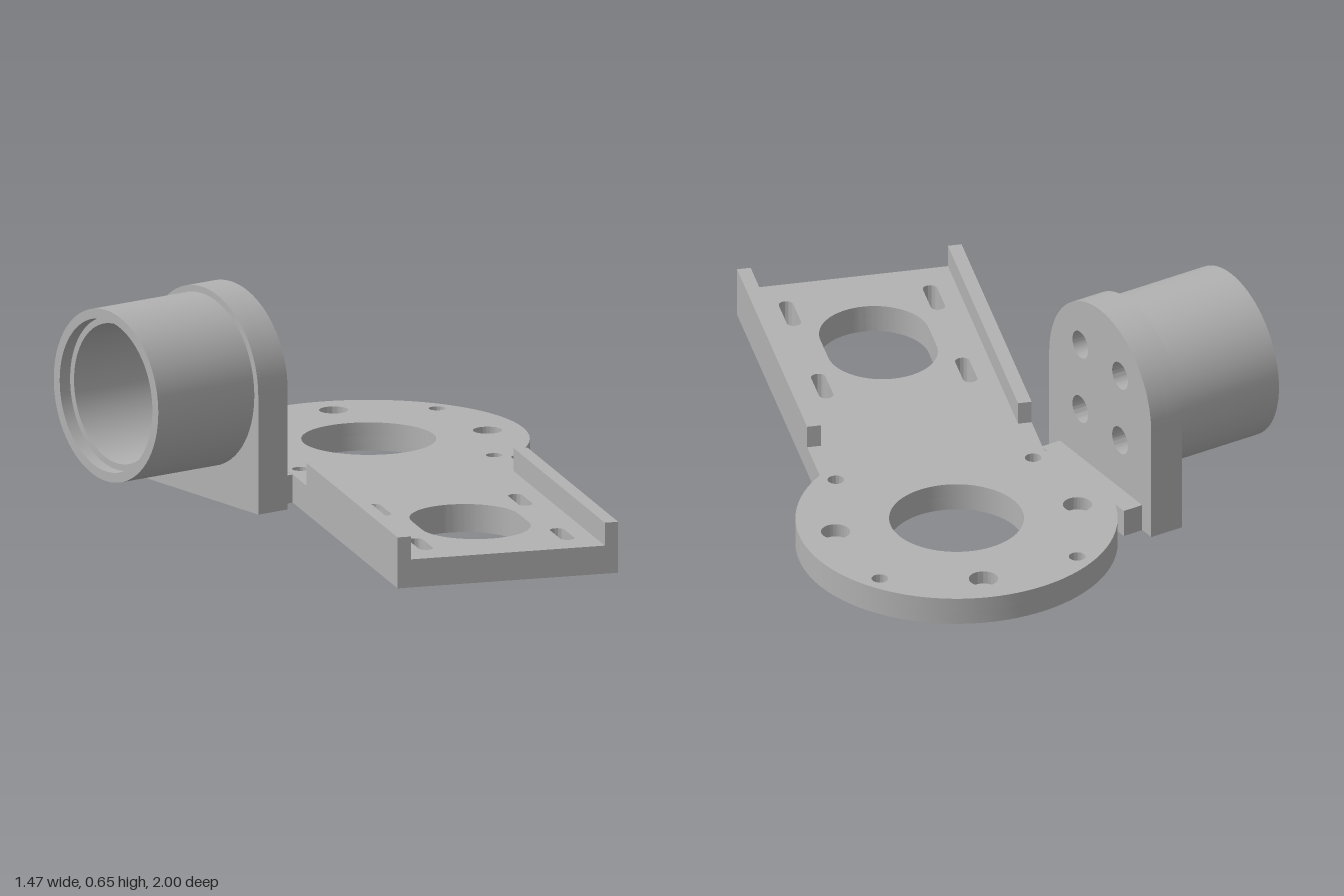
import * as THREE from 'three';
import { toCreasedNormals } from 'three/addons/utils/BufferGeometryUtils.js';

const metal = new THREE.MeshStandardMaterial({ color: 0xb2b2b2 });
metal.name = 'plain grey';

function part(name, geometry, parent) {
  const mesh = new THREE.Mesh(toCreasedNormals(geometry, 0.5), metal);
  mesh.name = name;
  parent.add(mesh);
  return mesh;
}

const extrude = (shape, depth) =>
  new THREE.ExtrudeGeometry(shape, { depth, bevelEnabled: false, curveSegments: 40 });

function roundHole(x, y, r) {
  const p = new THREE.Path();
  p.absarc(x, y, r, 0, Math.PI * 2, true);
  return p;
}

function hexHole(x, y, r) {
  const points = [];
  for (let i = 0; i < 6; i++) {
    const a = -i * Math.PI / 3;
    points.push(new THREE.Vector2(x + r * Math.cos(a), y + r * Math.sin(a)));
  }
  return new THREE.Path(points);
}

// Slot with round ends, running along y
function slotHole(x, y, r, half) {
  const p = new THREE.Path();
  p.absarc(x, y + half, r, 0, Math.PI, false);
  p.absarc(x, y - half, r, Math.PI, Math.PI * 2, false);
  p.closePath();
  return p;
}

const DISC_R = 0.485, HALF_W = 0.346, ARM = 1.483, BASE_H = 0.087, POCKET = 0.045;
const CENTRE_Z = -0.515;

// Outline of disc and arm; the arm runs towards -y of the shape
function baseShape(boltR, nutHole) {
  const join = Math.sqrt(DISC_R ** 2 - HALF_W ** 2);
  const s = new THREE.Shape();
  s.moveTo(-HALF_W, -ARM);
  s.lineTo(HALF_W, -ARM);
  s.lineTo(HALF_W, -join);
  s.absarc(0, 0, DISC_R, Math.atan2(-join, HALF_W), Math.PI + Math.atan2(join, HALF_W), false);
  s.closePath();
  s.holes.push(roundHole(0, 0, 0.203));
  // three bolt holes and four diagonal holes around the disc
  for (const [x, y] of [[0.373, 0], [0, 0.373], [-0.373, 0]]) s.holes.push(roundHole(x, y, boltR));
  for (const sx of [-1, 1]) for (const sy of [-1, 1]) s.holes.push(nutHole(sx * 0.304, sy * 0.304));
  // arm openings
  s.holes.push(slotHole(0, -1.08, 0.167, 0.054));
  for (const x of [-0.222, 0.222]) for (const y of [-0.862, -1.308]) s.holes.push(slotHole(x, y, 0.022, 0.053));
  return s;
}

// Upright plate with a round top and four holes
function mountShape(holeR) {
  const r = 0.285, cy = 0.365;
  const s = new THREE.Shape();
  s.moveTo(-r, 0);
  s.lineTo(r, 0);
  s.absarc(0, cy, r, 0, Math.PI, false);
  s.closePath();
  for (const x of [-0.111, 0.111]) for (const y of [0.252, 0.476]) s.holes.push(roundHole(x, y, holeR));
  return s;
}

export function createModel() {
  const model = new THREE.Group();
  model.name = 'motorBracket';

  // Base: two layers, so bolt holes widen at the top and hex pockets open below
  const base = new THREE.Group();
  base.name = 'base';
  base.position.set(0.245, 0, CENTRE_Z);
  base.rotation.y = -Math.PI / 9;
  model.add(base);
  const lower = baseShape(0.027, (x, y) => hexHole(x, y, 0.045));
  const upper = baseShape(0.044, (x, y) => roundHole(x, y, 0.025));
  part('baseLowerLayer', extrude(lower, POCKET).rotateX(-Math.PI / 2), base);
  part('baseUpperLayer', extrude(upper, BASE_H - POCKET).rotateX(-Math.PI / 2), base).position.y = POCKET;

  // Rails along both arm edges
  const railL = 0.97, railT = 0.042, top = 0.158;
  for (const side of [-1, 1]) {
    const rail = part(side > 0 ? 'leftRail' : 'rightRail',
      new THREE.BoxGeometry(railT, top - BASE_H, railL), base);
    rail.position.set(side * (HALF_W - railT / 2), (top + BASE_H) / 2, ARM - railL / 2);
  }

  // Link between the disc and the upright plate
  part('link', new THREE.BoxGeometry(0.07, BASE_H, 0.46), model)
    .position.set(-0.237, BASE_H / 2, -0.52);

  // Upright plate: narrow holes behind, wide counterbores in front
  part('mountPlateBack', extrude(mountShape(0.027), 0.058).rotateY(Math.PI / 2), model)
    .position.set(-0.378, 0, CENTRE_Z);
  part('mountPlateFront', extrude(mountShape(0.044), 0.052).rotateY(Math.PI / 2), model)
    .position.set(-0.32, 0, CENTRE_Z);

  // Hollow sleeve with a stepped mouth
  const profile = [[0.265, 0], [0.265, 0.359], [0.235, 0.359], [0.235, 0.32], [0.215, 0.32], [0.215, 0]]
    .map(([r, h]) => new THREE.Vector2(r, h));
  part('sleeve', new THREE.LatheGeometry(profile, 72).rotateZ(Math.PI / 2), model)
    .position.set(-0.378, 0.365, CENTRE_Z);

  return model;
}
